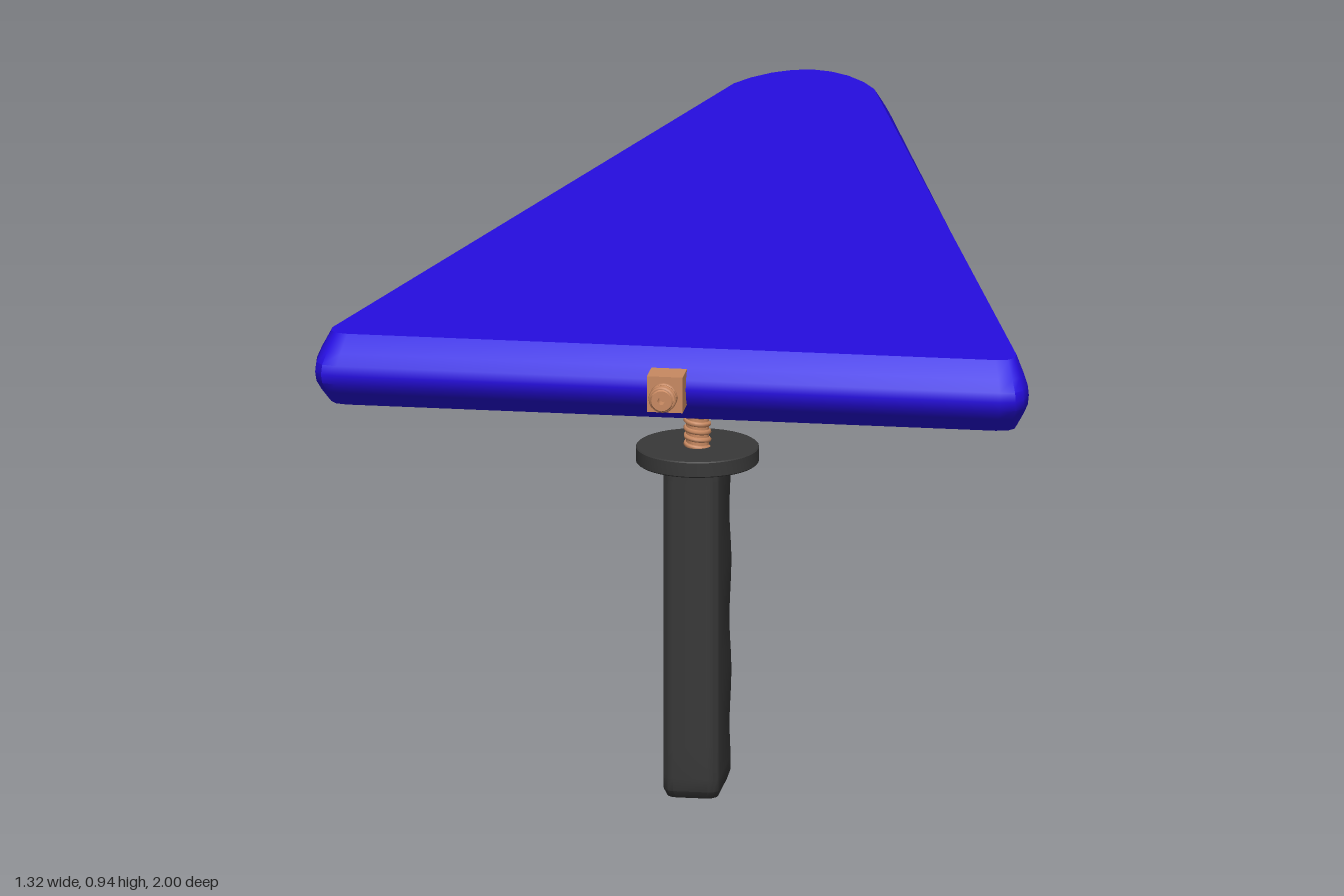
import * as THREE from 'three';
import { mergeVertices, toCreasedNormals } from 'three/addons/utils/BufferGeometryUtils.js';

const blue = new THREE.MeshStandardMaterial({ color: 0x260de0 });
const dark = new THREE.MeshStandardMaterial({ color: 0x383838 });
const copper = new THREE.MeshStandardMaterial({ color: 0xc98a62 });

const HANDLE_Z = 0.535;

function add(parent, name, geometry, material, x = 0, y = 0, z = 0) {
  const mesh = new THREE.Mesh(geometry, material);
  mesh.name = name;
  mesh.position.set(x, y, z);
  parent.add(mesh);
  return mesh;
}

// Skins a stack of convex rings [{ y, pts: [[x, z], ...] }] and caps both ends.
function loft(rings, crease) {
  const n = rings[0].pts.length, pos = [], index = [];
  for (const { y, pts } of rings) for (const [x, z] of pts) pos.push(x, y, z);
  for (let r = 0; r < rings.length - 1; r++) {
    for (let i = 0; i < n; i++) {
      const a = r * n + i, b = r * n + (i + 1) % n;
      index.push(a, a + n, b, b, a + n, b + n);
    }
  }
  const top = (rings.length - 1) * n;
  for (let i = 1; i < n - 1; i++) {
    index.push(0, i, i + 1, top, top + i + 1, top + i);
  }
  const g = new THREE.BufferGeometry();
  g.setAttribute('position', new THREE.Float32BufferAttribute(pos, 3));
  g.setIndex(index);
  return toCreasedNormals(mergeVertices(g), crease);
}

// Flat triangular body: one half outline at the rim and one at the flat faces.
function bodyGeometry() {
  const rim = [[0, -1], [0.04, -0.99], [0.08, -0.967], [0.12, -0.925], [0.15, -0.88], [0.167, -0.83],
    [0.66, 0.86], [0.656, 0.895], [0.643, 0.911], [0.615, 0.917]];
  const face = [[0, -0.95], [0.035, -0.942], [0.07, -0.92], [0.105, -0.882], [0.13, -0.84], [0.145, -0.79],
    [0.633, 0.83], [0.632, 0.852], [0.622, 0.865], [0.6, 0.87]];
  const levels = [[0.8, 0], [0.83, 0.6], [0.85, 0.92], [0.8675, 1], [0.885, 0.92], [0.905, 0.6], [0.935, 0]];
  return loft(levels.map(([y, t]) => {
    const half = rim.map(([x, z], i) => [
      THREE.MathUtils.lerp(face[i][0], x, t), THREE.MathUtils.lerp(face[i][1], z, t)]);
    const mirrored = half.slice(1).reverse().map(([x, z]) => [-x, z]);
    return { y, pts: [...half, ...mirrored] };
  }), 0.65);
}

// Rounded rectangle ring for the grip.
function gripRing(hw, back, front, r) {
  const pts = [];
  const corners = [[hw - r, front - r], [-hw + r, front - r], [-hw + r, back + r], [hw - r, back + r]];
  corners.forEach(([cx, cz], c) => {
    for (let k = 0; k <= 3; k++) {
      const a = (c + k / 3) * Math.PI / 2;
      pts.push([cx + r * Math.cos(a), cz + r * Math.sin(a)]);
    }
  });
  return pts;
}

// Grip with finger grooves along its back edge.
function gripGeometry() {
  const stations = [[0, 0.047, 0.462, 0.617], [0.015, 0.052, 0.45, 0.628], [0.04, 0.052, 0.449, 0.63]];
  for (let i = 0; i <= 24; i++) {
    const y = 0.1 + 0.52 * i / 24;
    const wave = Math.cos((y - 0.1) / 0.208 * Math.PI * 2);
    stations.push([y, 0.052, 0.4525 + 0.0125 * wave, 0.63]);
  }
  return loft(stations.map(([y, hw, back, front]) =>
    ({ y, pts: gripRing(hw, back, front, 0.02) })), 0.6);
}

// Threaded stud standing on y = 0: core with an optional bore, plus a helical ridge.
function threadedStud(name, length, turns, bore) {
  const stud = new THREE.Group();
  stud.name = name;
  const profile = [[0.021, 0], [0.021, length - 0.003], [0.019, length], [bore, length], [bore, length - 0.02], [0, length - 0.02]];
  const core = new THREE.LatheGeometry(profile.map(([x, y]) => new THREE.Vector2(x, y)), 24);
  add(stud, name + 'Core', toCreasedNormals(core, 0.5), copper);
  const path = [];
  for (let i = 0; i <= turns * 16; i++) {
    const a = i / 16 * Math.PI * 2;
    path.push(new THREE.Vector3(
      0.021 * Math.cos(a), 0.005 + (length - 0.01) * i / (turns * 16), 0.021 * Math.sin(a)));
  }
  const ridge = new THREE.TubeGeometry(new THREE.CatmullRomCurve3(path), turns * 20, 0.005, 6);
  add(stud, name + 'Ridge', ridge, copper);
  return stud;
}

// Round disc with softened rims.
function disc(radius, height, bevel) {
  const pts = [[0, 0], [radius - bevel, 0], [radius, bevel], [radius, height - bevel], [radius - bevel, height], [0, height]];
  return toCreasedNormals(new THREE.LatheGeometry(pts.map(([x, y]) => new THREE.Vector2(x, y)), 40), 0.5);
}

export function createModel() {
  const model = new THREE.Group();
  model.name = 'triangularAntenna';

  // Body and its mounting boss
  add(model, 'body', bodyGeometry(), blue);
  add(model, 'mountingBoss', disc(0.113, 0.04, 0.007), blue, 0, 0.77, HANDLE_Z);

  // Detached handle with its collar and screw
  const handle = new THREE.Group();
  handle.name = 'handle';
  add(handle, 'grip', gripGeometry(), dark);
  add(handle, 'collar', disc(0.113, 0.03, 0.002), dark, 0, 0.62, HANDLE_Z);
  const screw = threadedStud('handleScrew', 0.085, 5, 0.001);
  screw.position.set(0, 0.642, HANDLE_Z);
  handle.add(screw);
  model.add(handle);

  // Cable connector on the front edge
  const connector = new THREE.Group();
  connector.name = 'connector';
  add(connector, 'connectorBlock', new THREE.BoxGeometry(0.066, 0.068, 0.06), copper, 0, 0, -0.03);
  const socket = threadedStud('connectorSocket', 0.043, 3, 0.007);
  socket.rotation.x = Math.PI / 2;
  connector.add(socket);
  connector.position.set(0, 0.869, 0.957);
  model.add(connector);

  return model;
}
